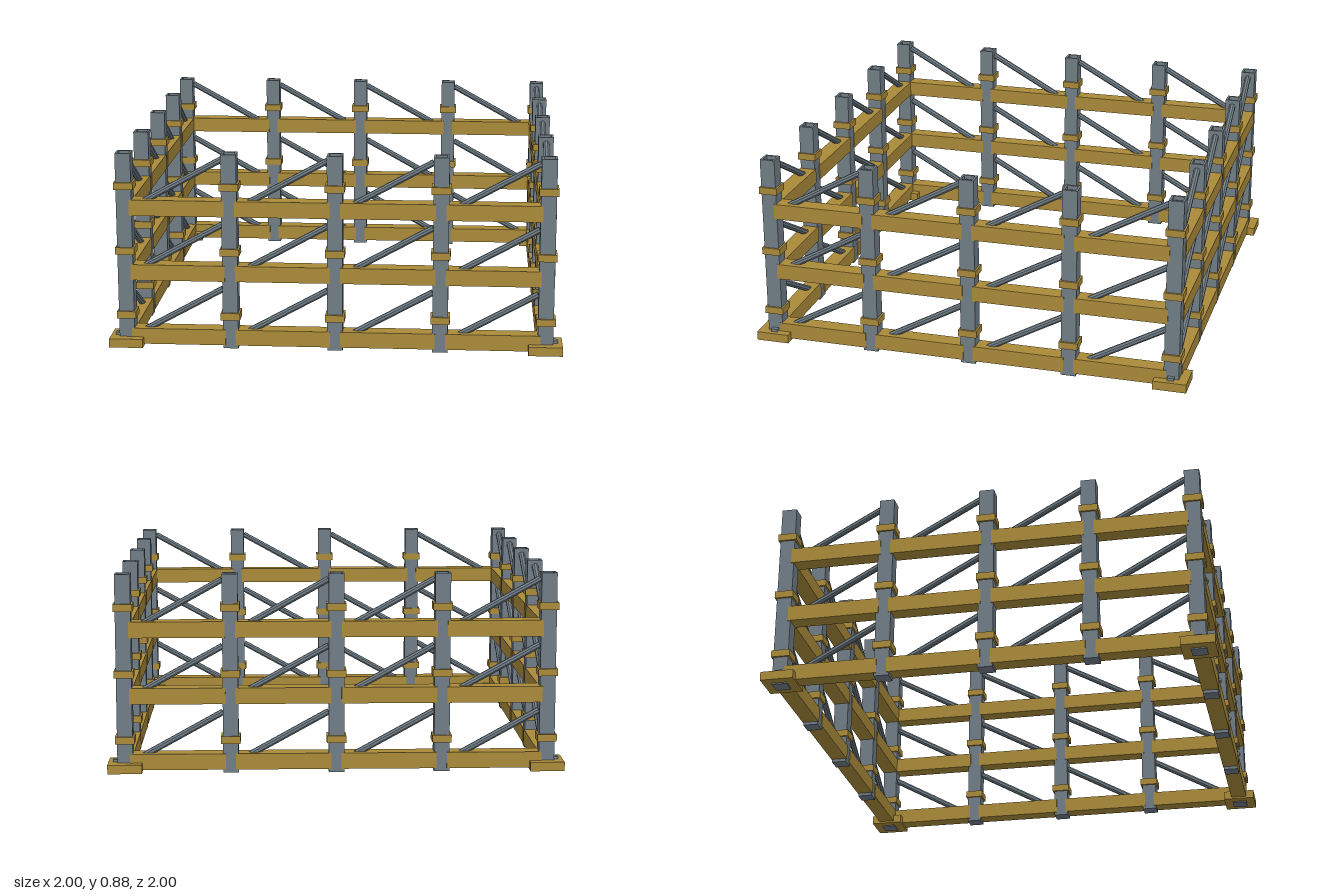
import * as THREE from 'three';

const HALF = 0.925;      // column centre lines
const BAY = HALF / 2;    // column spacing
const TIER = 0.2925;     // height of one tier
const TIERS = 3;
const COL = 0.068;       // column width

export function createModel() {
  const steel = new THREE.MeshStandardMaterial({ color: 0x6f7c85, flatShading: true });
  steel.name = 'steel grey';
  const gold = new THREE.MeshStandardMaterial({ color: 0xaa8a3a, flatShading: true });
  gold.name = 'ochre';

  const model = new THREE.Group();
  model.name = 'scaffoldFrame';

  function add(parent, name, geometry, material, x, y, z) {
    const mesh = new THREE.Mesh(geometry, material);
    mesh.name = name;
    mesh.position.set(x, y, z);
    parent.add(mesh);
    return mesh;
  }

  function square(path, size) {
    const h = size / 2;
    path.moveTo(-h, -h).lineTo(h, -h).lineTo(h, h).lineTo(-h, h).closePath();
    return path;
  }

  // Square ring extruded upward from y = 0
  function squareTube(outer, inner, height) {
    const shape = square(new THREE.Shape(), outer);
    shape.holes.push(square(new THREE.Path(), inner));
    return new THREE.ExtrudeGeometry(shape, { depth: height, bevelEnabled: false }).rotateX(-Math.PI / 2);
  }

  const height = TIER * TIERS;
  const recess = 0.04;
  const shaftGeo = new THREE.BoxGeometry(COL, height - recess, COL);
  const rimGeo = squareTube(COL, 0.048, recess);
  const socketGeo = squareTube(0.034, 0.02, 0.025);
  const collarGeo = squareTube(0.085, COL - 0.004, 0.032);
  const beamGeo = new THREE.BoxGeometry(BAY - 0.045, 0.071, 0.075);
  const plateGeo = new THREE.BoxGeometry(0.15, 0.04, 0.15);
  const footGeo = new THREE.BoxGeometry(0.11, 0.014, 0.03);

  // Diagonal brace, rising toward +x within each bay
  const low = new THREE.Vector2(0.04, 0.05);
  const high = new THREE.Vector2(BAY - 0.034, 0.265);
  const span = high.clone().sub(low);
  const braceGeo = new THREE.CylinderGeometry(0.0145, 0.0145, span.length(), 8);
  braceGeo.rotateY(Math.PI / 8).rotateZ(span.angle() - Math.PI / 2);

  function addColumn(side, x) {
    const column = new THREE.Group();
    column.name = 'column';
    column.position.set(x, 0, HALF);
    add(column, 'columnShaft', shaftGeo, steel, 0, (height - recess) / 2, 0);
    add(column, 'columnRim', rimGeo, steel, 0, height - recess, 0);
    add(column, 'columnSocket', socketGeo, steel, 0, height - recess, 0);
    for (let t = 0; t < TIERS; t++) {
      add(column, 'collar', collarGeo, gold, 0, t * TIER + 0.131, 0);
    }
    side.add(column);
  }

  // Four identical walls turned about the centre
  for (let k = 0; k < 4; k++) {
    const side = new THREE.Group();
    side.name = 'wall';
    side.rotation.y = k * Math.PI / 2;

    for (let b = 0; b < 4; b++) {
      const x = -HALF + b * BAY;
      addColumn(side, x);
      for (let t = 0; t < TIERS; t++) {
        const y = t * TIER;
        add(side, 'beam', beamGeo, gold, x + BAY / 2, y + 0.05, HALF);
        add(side, 'brace', braceGeo, steel,
          x + (low.x + high.x) / 2, y + (low.y + high.y) / 2, HALF);
      }
    }

    // Corner base plate and its foot bar, always aligned with the model's x axis
    add(side, 'cornerPlate', plateGeo, gold, -HALF, 0.026, HALF);
    add(side, 'footBar', footGeo, steel, -HALF, 0.052, HALF).rotation.y = -side.rotation.y;
    model.add(side);
  }
  return model;
}
